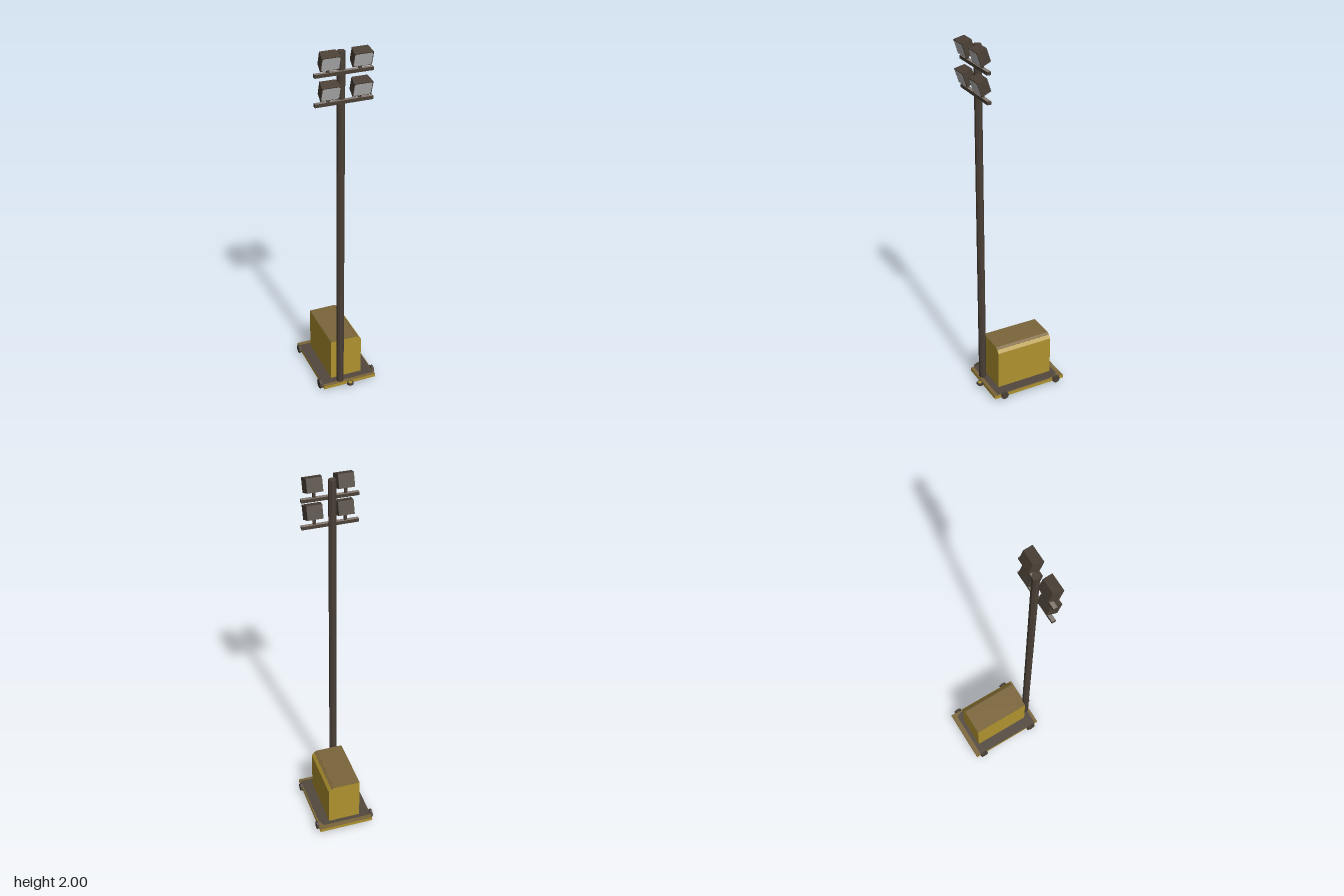
import * as THREE from 'three';

const mat = (name, color) => {
  const m = new THREE.MeshStandardMaterial({ color });
  m.name = name;
  return m;
};

export function createModel() {
  const root = new THREE.Group();
  root.name = 'lightTower';
  const yellow = mat('yellow paint', 0xae922f);
  const tan = mat('dusty tan', 0x7c663a);
  const deckBrown = mat('deck brown', 0x52483e);
  const dark = mat('dark brown metal', 0x4a4036);
  const grey = mat('bar grey', 0x857a73);
  const glass = mat('lens grey', 0xbdbdbd);

  const add = (parent, name, geo, material, x = 0, y = 0, z = 0) => {
    const m = new THREE.Mesh(geo, material);
    m.name = name;
    m.position.set(x, y, z);
    parent.add(m);
    return m;
  };
  // Box given by its minimum and maximum corners
  const block = (parent, name, material, a, b) => add(parent, name,
    new THREE.BoxGeometry(b[0] - a[0], b[1] - a[1], b[2] - a[2]), material,
    (a[0] + b[0]) / 2, (a[1] + b[1]) / 2, (a[2] + b[2]) / 2);

  // Trailer platform: yellow sides and base, tan rim on top, dark deck plate
  block(root, 'platform', [yellow, yellow, tan, yellow, yellow, yellow],
    [-0.14, 0.022, -0.24], [0.168, 0.041, 0.193]);
  const deck = new THREE.Shape();
  deck.moveTo(-0.14, -0.175);
  deck.lineTo(0.163, -0.175);
  deck.lineTo(0.16, 0.14);
  deck.quadraticCurveTo(0.155, 0.213, 0.13, 0.213);
  deck.lineTo(-0.14, 0.213);
  add(root, 'deckPlate', new THREE.ShapeGeometry(deck), deckBrown, 0, 0.0425, 0)
    .rotation.x = -Math.PI / 2;

  // Generator housing with a bevelled edge on its left side
  const profile = [[-0.078, 0.041], [0.102, 0.041], [0.102, 0.264], [0.088, 0.281], [0.073, 0.29], [-0.078, 0.29]];
  const housing = new THREE.Shape(profile.map(p => new THREE.Vector2(...p)));
  add(root, 'generatorHousing',
    new THREE.ExtrudeGeometry(housing, { depth: 0.327, bevelEnabled: false }), yellow, 0, 0, -0.19);

  // Dusty roof sheet and its sloping edge
  block(root, 'housingRoof', tan, [-0.078, 0.289, -0.19], [0.073, 0.291, 0.137]);
  const edge = block(root, 'housingRoofEdge', tan, [0.072, 0.285, -0.19], [0.0885, 0.287, 0.137]);
  edge.rotation.z = -Math.atan2(0.009, 0.015);

  // Wheels at the four corners
  for (const [x, z, r] of [[-0.1465, -0.193, 0.023], [0.172, -0.191, 0.022], [-0.1465, 0.142, 0.027], [0.172, 0.135, 0.022]]) {
    const geo = new THREE.CylinderGeometry(r, r, 0.014, 8).toNonIndexed();
    geo.rotateX(0).rotateZ(Math.PI / 2);
    geo.computeVertexNormals();
    add(root, 'wheel', geo, dark, x, r === 0.027 ? 0.027 : 0.033, z);
  }

  // Tow coupling at the front edge
  const hex = r => new THREE.CylinderGeometry(r, r, 0.012, 6).rotateY(Math.PI / 6).toNonIndexed();
  const coupling = hex(0.02);
  coupling.computeVertexNormals();
  add(root, 'towCoupling', coupling, dark, 0.01, 0.034, 0.207);
  add(root, 'couplingPlate', new THREE.CylinderGeometry(0.012, 0.012, 0.004, 6), yellow, 0.01, 0.04, 0.209);

  // Eight-sided mast
  const R = 0.0188 / Math.cos(Math.PI / 8);
  const mastGeo = new THREE.CylinderGeometry(R, R, 1.955, 8).rotateY(Math.PI / 8).toNonIndexed();
  mastGeo.computeVertexNormals();
  add(root, 'mast', mastGeo, dark, -0.0365, 1.0075, 0.168);

  // Lamp housing: a box narrowing to the back
  const lampGeo = new THREE.BoxGeometry(0.098, 0.076, 0.0575).toNonIndexed();
  const p = lampGeo.attributes.position;
  for (let i = 0; i < p.count; i++) {
    if (p.getZ(i) < 0) p.setXY(i, p.getX(i) * 0.84, p.getY(i) * 0.95);
  }
  lampGeo.computeVertexNormals();

  // Lens with clipped corners
  const w = 0.045, h = 0.0345, c = 0.006;
  const lens = new THREE.Shape([[-w + c, -h], [w - c, -h], [w, -h + c], [w, h - c],
    [w - c, h], [-w + c, h], [-w, h - c], [-w, -h + c]].map(q => new THREE.Vector2(...q)));
  const lensGeo = new THREE.ShapeGeometry(lens);

  // Two crossbars, each carrying a pair of tilted floodlights
  for (const y of [1.884, 1.736]) {
    const row = new THREE.Group();
    row.name = 'floodlightRow';
    row.position.y = y;
    root.add(row);
    block(row, 'crossbar', [dark, dark, grey, dark, dark, dark], [-0.18, -0.009, 0.175], [0.12, 0.009, 0.196]);
    for (const x of [-0.111, 0.052]) {
      add(row, 'lampPost', new THREE.BoxGeometry(0.014, 0.04, 0.012), dark, x, 0.027, 0.187);
      const lamp = new THREE.Group();
      lamp.name = 'floodlight';
      lamp.position.set(x, 0.073, 0.1988);
      lamp.rotation.x = 0.314;
      row.add(lamp);
      add(lamp, 'lampHousing', lampGeo, dark);
      add(lamp, 'lens', lensGeo, glass, 0, 0, 0.0297);
    }
  }
  return root;
}
